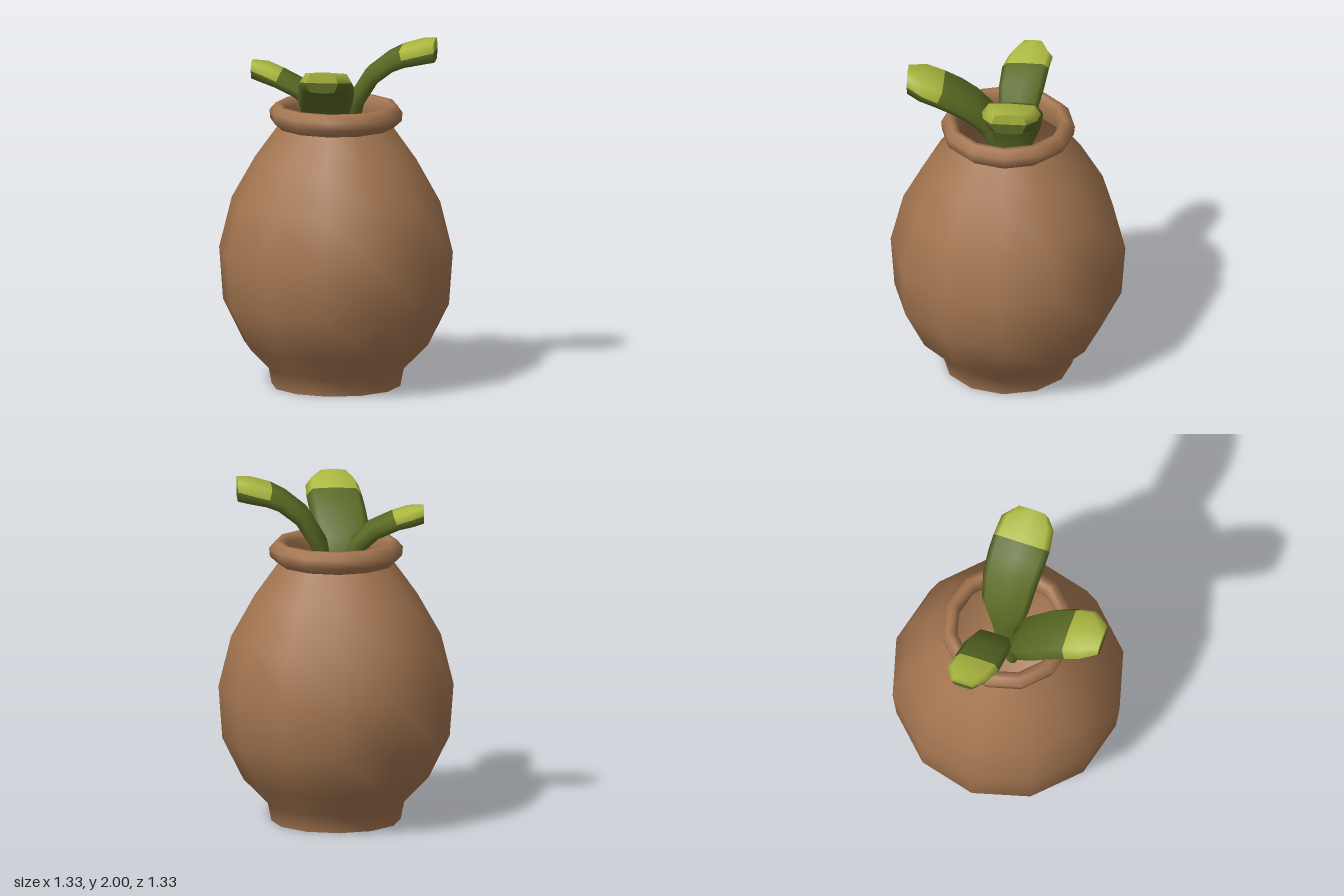
import * as THREE from 'three';

const clay = new THREE.MeshStandardMaterial({ name: 'clay', color: 0xa37550 });
const stemGreen = new THREE.MeshStandardMaterial({ name: 'stem green', color: 0x5a6a24 });
const tipGreen = new THREE.MeshStandardMaterial({ name: 'tip green', color: 0xabb841 });

const SIDES = 12;

// Smooth turned surface from [radius, height] points
function turned(name, profile) {
  const points = profile.map(([r, y]) => new THREE.Vector2(r, y));
  const mesh = new THREE.Mesh(new THREE.LatheGeometry(points, SIDES), clay);
  mesh.name = name;
  return mesh;
}

// Half outline of a flattened stem section, counter-clockwise; the first half is the upper side
const SECTION = [[1, 0], [0.78, 0.9], [0, 1], [-0.78, 0.9], [-1, 0], [-0.78, -0.9], [0, -1], [0.78, -0.9]];

// Flat stem growing towards local +z. Rings: [z, y, sideways offset, half width, half thickness]
function stem(name, rings, tipStart, turn) {
  const n = SECTION.length;
  const positions = [];
  const stemFaces = [];
  const tipFaces = [];

  rings.forEach(([z, y, side, w, t], i) => {
    const before = rings[Math.max(i - 1, 0)];
    const after = rings[Math.min(i + 1, rings.length - 1)];
    let dz = after[0] - before[0];
    let dy = after[1] - before[1];
    if (i === rings.length - 1) { dz = 1; dy = 0; } // upright blunt end
    const len = Math.hypot(dz, dy);
    for (const [u, v] of SECTION) {
      positions.push(side + u * w, y + (v * t * dz) / len, z - (v * t * dy) / len);
    }
  });

  // Skin: only the upper half near the end is light
  for (let i = 0; i < rings.length - 1; i++) {
    for (let j = 0; j < n; j++) {
      const k = (j + 1) % n;
      const a = i * n + j, b = i * n + k, c = b + n, d = a + n;
      (i >= tipStart && j < n / 2 ? tipFaces : stemFaces).push(a, b, c, a, c, d);
    }
  }

  // Blunt end with its own corners, so its edge stays sharp
  const last = (rings.length - 1) * n * 3;
  const first = positions.length / 3;
  positions.push(...positions.slice(last, last + n * 3));
  const [ez, ey, eside] = rings[rings.length - 1];
  positions.push(eside, ey, ez);
  for (let j = 0; j < n; j++) {
    (j < n / 2 ? tipFaces : stemFaces).push(first + n, first + j, first + ((j + 1) % n));
  }

  const geometry = new THREE.BufferGeometry();
  geometry.setAttribute('position', new THREE.Float32BufferAttribute(positions, 3));
  geometry.setIndex([...stemFaces, ...tipFaces]);
  geometry.addGroup(0, stemFaces.length, 0);
  geometry.addGroup(stemFaces.length, tipFaces.length, 1);
  geometry.computeVertexNormals();
  const mesh = new THREE.Mesh(geometry, [stemGreen, tipGreen]);
  mesh.name = name;
  mesh.rotation.y = turn;
  return mesh;
}

export function createModel() {
  const model = new THREE.Group();
  model.name = 'plantPot';

  // Pot
  model.add(turned('potBody', [
    [0.367, 0], [0.387, 0.1], [0.525, 0.24], [0.645, 0.48], [0.667, 0.78],
    [0.595, 1.07], [0.46, 1.31], [0.33, 1.49],
  ]));
  model.add(turned('potRim', [
    [0.33, 1.49], [0.375, 1.53], [0.38, 1.58], [0.345, 1.62],
    [0.315, 1.62], [0.292, 1.585], [0.292, 1.53], [0.3, 1.48],
  ]));
  model.add(turned('potInside', [
    [0.3, 1.48], [0.43, 1.29], [0.56, 1.06], [0.63, 0.78], [0.61, 0.49],
    [0.49, 0.26], [0.35, 0.12], [0, 0.08],
  ]));
  const base = new THREE.Mesh(new THREE.CircleGeometry(0.367, SIDES), clay);
  base.name = 'potBase';
  base.rotation.x = Math.PI / 2;
  model.add(base);

  // Three stems fanning out of the mouth
  model.add(stem('leftStem', [
    [0.04, 1.2, 0.03, 0.05, 0.03], [0.07, 1.45, 0.035, 0.09, 0.05], [0.1, 1.62, 0.05, 0.14, 0.05],
    [0.2, 1.78, 0.055, 0.16, 0.05], [0.31, 1.866, 0.05, 0.168, 0.05], [0.385, 1.9, 0.048, 0.168, 0.055],
    [0.5, 1.928, 0.05, 0.155, 0.062], [0.562, 1.934, 0.045, 0.1, 0.064],
  ], 5, Math.PI / 2));
  model.add(stem('frontStem', [
    [0.04, 1.2, -0.03, 0.05, 0.03], [0.07, 1.46, -0.03, 0.08, 0.045], [0.12, 1.59, -0.045, 0.14, 0.05],
    [0.21, 1.68, -0.035, 0.158, 0.05], [0.3, 1.745, -0.02, 0.16, 0.055], [0.39, 1.795, -0.008, 0.158, 0.057],
    [0.48, 1.835, 0, 0.15, 0.06], [0.57, 1.85, -0.01, 0.09, 0.06],
  ], 5, 0));
  model.add(stem('rightStem', [
    [0.05, 1.2, -0.05, 0.04, 0.03], [0.08, 1.47, -0.06, 0.06, 0.04], [0.125, 1.61, -0.05, 0.11, 0.045],
    [0.21, 1.692, -0.06, 0.128, 0.045], [0.335, 1.75, -0.075, 0.133, 0.045],
    [0.42, 1.778, -0.1, 0.123, 0.05], [0.492, 1.79, -0.105, 0.065, 0.05],
  ], 4, -Math.PI / 2));

  return model;
}
